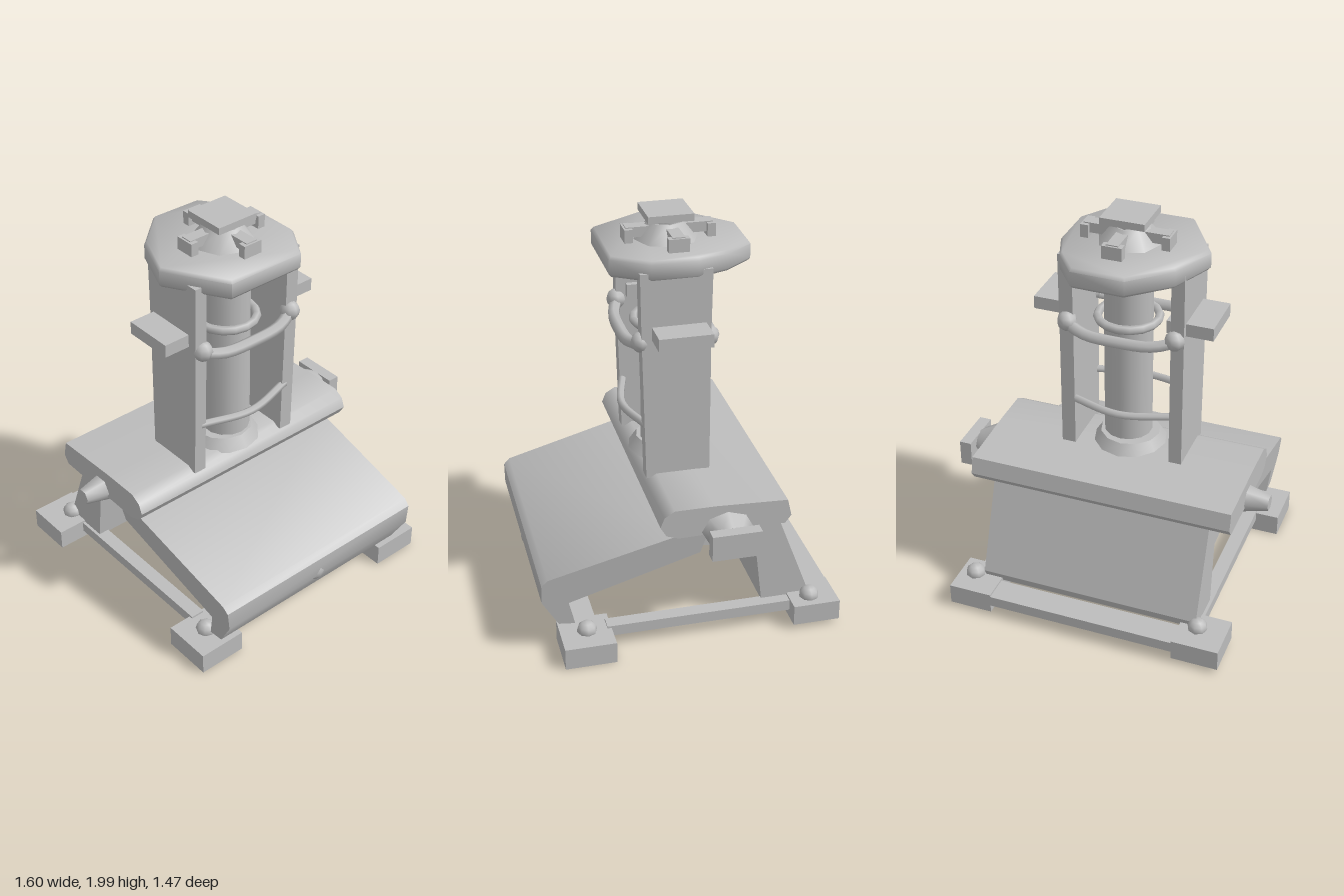
import * as THREE from 'three';
import { toCreasedNormals } from 'three/addons/utils/BufferGeometryUtils.js';

export function createModel() {
  const model = new THREE.Group();
  const grey = new THREE.MeshStandardMaterial({ color: 0xbcbcbc });
  grey.name = 'plain grey';

  const add = (name, geometry, x = 0, y = 0, z = 0) => {
    const mesh = new THREE.Mesh(geometry, grey);
    mesh.name = name;
    mesh.position.set(x, y, z);
    model.add(mesh);
    return mesh;
  };
  // Box given by its limits on each axis
  const box = (name, x0, x1, y0, y1, z0, z1) =>
    add(name, new THREE.BoxGeometry(x1 - x0, y1 - y0, z1 - z0), (x0 + x1) / 2, (y0 + y1) / 2, (z0 + z1) / 2);
  const shape = (points) => new THREE.Shape(points.map(([a, b]) => new THREE.Vector2(a, b)));
  // Side profile of [z, y] points, extruded across x
  const across = (points, x0, x1) => {
    const g = new THREE.ExtrudeGeometry(shape(points), { depth: x1 - x0, bevelEnabled: false });
    return g.rotateY(-Math.PI / 2).translate(x1, 0, 0);
  };
  const tube = (name, points, radius) =>
    add(name, new THREE.TubeGeometry(
      new THREE.CatmullRomCurve3(points.map((p) => new THREE.Vector3(...p))), 14, radius, 6));

  // Sloping front flap with a turned-down lip, narrower towards the bottom
  const flap = across([[-0.08, 0.61], [0.05, 0.6], [0.7, 0.43], [0.73, 0.4], [0.73, 0.3],
    [0.65, 0.16], [0.57, 0.15], [0.6, 0.28], [-0.04, 0.48]], -0.65, 0.6);
  const fp = flap.attributes.position;
  for (let i = 0; i < fp.count; i++) {
    const t = Math.min(1, (0.61 - fp.getY(i)) / 0.46);
    fp.setX(i, fp.getX(i) * (1 - 0.075 * t));
  }
  flap.computeVertexNormals();
  add('frontFlap', toCreasedNormals(flap, 0.7));
  add('flapKnob', new THREE.SphereGeometry(0.07, 8, 6), -0.03, 0.31, 0.7).scale.set(1, 0.75, 0.5);

  // Sloping rear support
  add('rearSupport', across([[0, 0.62], [-0.03, 0.49], [-0.33, 0.45], [-0.37, 0.12],
    [-0.58, 0.12], [-0.6, 0.17], [-0.43, 0.62]], -0.58, 0.54));

  // Deck with a rounded front edge
  add('deck', toCreasedNormals(across([[0.1, 0.76], [0.15, 0.73], [0.17, 0.68], [0.14, 0.63],
    [0.08, 0.61], [-0.44, 0.62], [-0.47, 0.66], [-0.45, 0.745], [-0.1, 0.76]], -0.69, 0.645), 0.7));

  // Feet with their bolts
  for (const [name, x0, x1, y0, y1, z0, z1] of [
    ['frontFootRight', -0.715, -0.47, 0.01, 0.12, 0.4, 0.65],
    ['frontFootLeft', 0.47, 0.72, 0.01, 0.12, 0.4, 0.65],
    ['backFootRight', -0.735, -0.5, 0.035, 0.14, -0.735, -0.5],
    ['backFootLeft', 0.45, 0.67, 0.035, 0.14, -0.735, -0.5]]) {
    box(name, x0, x1, y0, y1, z0, z1);
    const bolt = add(name + 'Bolt', new THREE.SphereGeometry(0.05, 8, 6),
      Math.sign(x0) * 0.59, y1 + 0.01, z0 > 0 ? 0.52 : -0.6);
    bolt.scale.y = 0.9;
  }

  // Rails joining the feet
  box('frontRail', -0.5, 0.5, 0.07, 0.12, 0.46, 0.58);
  box('backRail', -0.55, 0.5, 0.075, 0.13, -0.735, -0.6);
  for (const s of [-1, 1]) box('sideRail', s * 0.56 - 0.035, s * 0.56 + 0.035, 0.075, 0.13, -0.52, 0.42);

  // Side knobs of the deck
  const leftKnob = add('leftKnob', new THREE.CylinderGeometry(0.07, 0.125, 0.08, 8), 0.705, 0.64, -0.15);
  leftKnob.rotation.z = -Math.PI / 2;
  leftKnob.scale.x = 0.75;
  box('leftKnobEnd', 0.74, 0.8, 0.56, 0.69, -0.28, -0.04);
  const rightKnob = add('rightKnob', new THREE.CylinderGeometry(0.04, 0.07, 0.13, 6), -0.735, 0.64, -0.16);
  rightKnob.rotation.z = Math.PI / 2;

  // Tower: central column between two side walls
  add('column', new THREE.CylinderGeometry(0.12, 0.12, 1.05, 14), -0.015, 1.26, -0.01);
  add('columnFlange', new THREE.CylinderGeometry(0.15, 0.19, 0.06, 12), -0.03, 0.78, -0.02);
  for (const [x0, x1] of [[-0.345, -0.28], [0.21, 0.28]])
    add('towerWall', across([[0.15, 0.74], [0.17, 1.5], [0.175, 1.8], [-0.17, 1.8], [-0.165, 1.5], [-0.165, 0.74]], x0, x1));
  box('rightBracket', -0.48, -0.25, 1.47, 1.535, -0.14, 0.12);
  box('leftBracket', 0.21, 0.42, 1.47, 1.535, -0.14, 0.12);

  // Bowed cross bars on the front and back of the tower
  for (const s of [-1, 1]) {
    tube('upperBar', [[-0.31, 1.44, s * 0.16], [-0.2, 1.415, s * 0.2], [-0.03, 1.41, s * 0.21],
      [0.14, 1.415, s * 0.2], [0.25, 1.44, s * 0.16]], 0.03);
    tube('lowerBar', [[-0.3, 1.01, s * 0.14], [-0.03, 1, s * 0.2], [0.24, 1.01, s * 0.14]], 0.02);
    for (const x of [-0.3, 0.24])
      add('barJoint', new THREE.SphereGeometry(0.05, 8, 6), x, 1.45, s * 0.165);
  }
  const collar = add('collar', new THREE.TorusGeometry(0.15, 0.022, 6, 16), -0.015, 1.45, -0.01);
  collar.rotation.x = Math.PI / 2;

  // Eight-sided cap plate
  const cap = new THREE.ExtrudeGeometry(shape([[-0.4, 0], [-0.31, -0.22], [-0.13, -0.385], [0.12, -0.38],
    [0.22, -0.25], [0.275, -0.1], [0.275, 0.12], [0.17, 0.285], [-0.23, 0.285]]),
  { depth: 0.07, bevelThickness: 0.015, bevelSize: 0.012, bevelSegments: 1 });
  cap.rotateX(Math.PI / 2);
  add('capPlate', toCreasedNormals(cap, 0.9), 0, 1.845, 0);

  // Hub with four short arms
  add('hubBase', new THREE.CylinderGeometry(0.09, 0.16, 0.09, 8), -0.025, 1.9, -0.02);
  add('hubNeck', new THREE.CylinderGeometry(0.085, 0.08, 0.1, 8), -0.025, 1.93, -0.02);
  box('hubTop', -0.135, 0.085, 1.965, 2, -0.13, 0.09);
  for (let i = 0; i < 4; i++) {
    const arm = new THREE.Group();
    arm.name = 'hubArm';
    const bar = new THREE.Mesh(new THREE.BoxGeometry(0.14, 0.05, 0.06), grey);
    bar.position.set(0.14, 1.905, 0);
    const tip = new THREE.Mesh(new THREE.BoxGeometry(0.04, 0.07, 0.1), grey);
    tip.position.set(0.2, 1.89, 0);
    arm.add(bar, tip);
    arm.position.set(-0.02, 0, -0.03);
    arm.rotation.y = i * Math.PI / 2;
    model.add(arm);
  }
  return model;
}
